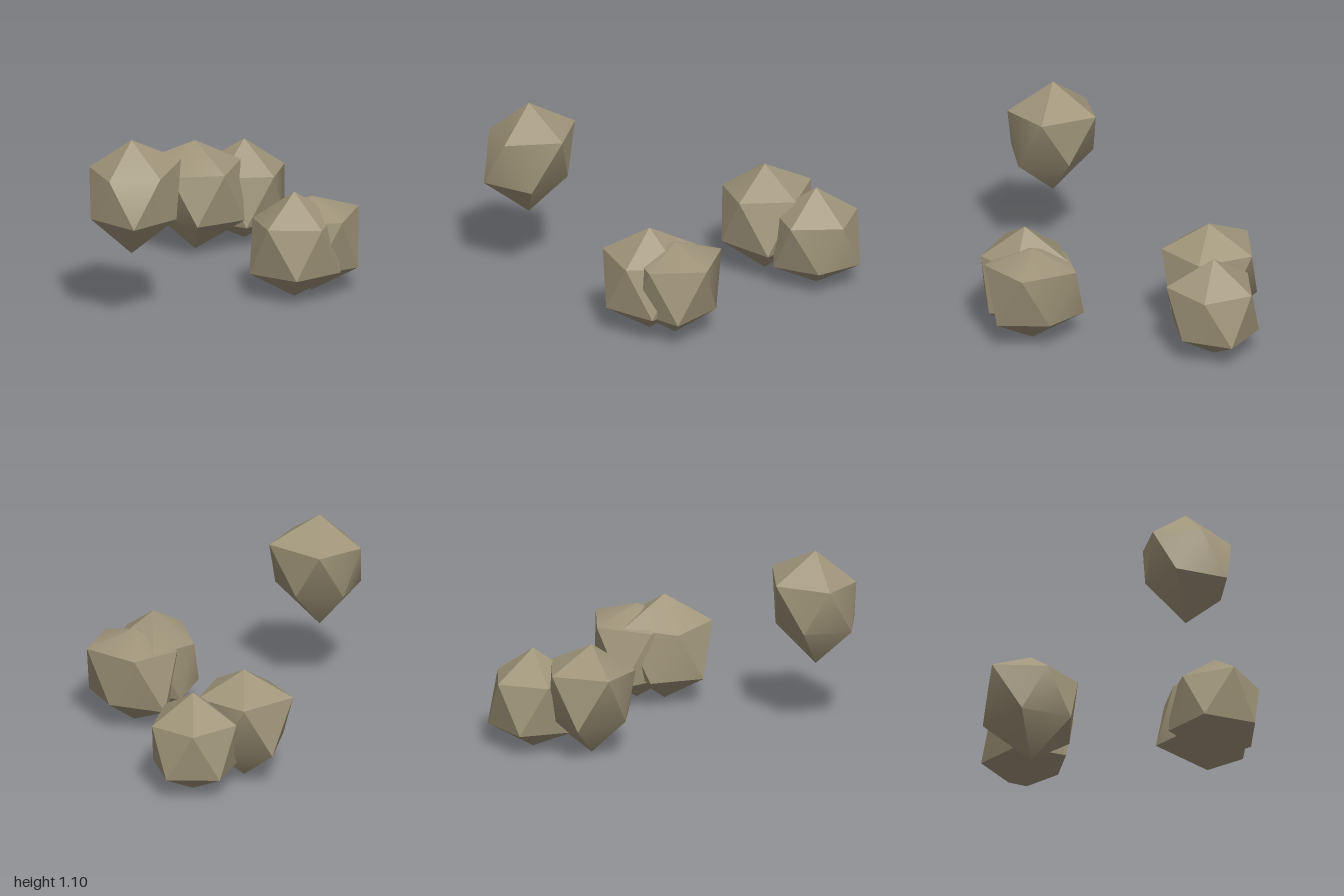
import * as THREE from 'three';
import { toCreasedNormals } from 'three/addons/utils/BufferGeometryUtils.js';

// Each rock is a bumpy icosahedron: an upright axis at (x, z) and two staggered
// rings of five corners, given as distances from the axis, running from the
// front right round by -x to the back. A corner's height grows with its distance.
const ROCKS = [
  {
    name: 'frontRock', x: 0.28, z: 0.755, base: 0.4, middle: 0.757, top: 1.1,
    lowerSlope: 0.45, lower: [0.285, 0.258, 0.24, 0.237, 0.275],
    upperSlope: 0.61, upper: [0.24, 0.258, 0.293, 0.312, 0.27],
  },
  {
    name: 'leftFrontRock', x: -0.53, z: -0.38, base: 0, middle: 0.366, top: 0.67,
    lowerSlope: 0.55, lower: [0.275, 0.243, 0.285, 0.27, 0.303],
    upperSlope: 0.54, upper: [0.258, 0.304, 0.294, 0.287, 0.28],
  },
  {
    name: 'leftBackRock', x: -0.52, z: -0.745, base: 0, middle: 0.3, top: 0.61,
    lowerSlope: 0.6, lower: [0.27, 0.278, 0.27, 0.268, 0.247],
    upperSlope: 0.5, upper: [0.258, 0.27, 0.26, 0.254, 0.28],
  },
  {
    name: 'rightFrontRock', x: 0.55, z: -0.26, base: 0, middle: 0.325, top: 0.645,
    lowerSlope: 0.56, lower: [0.275, 0.282, 0.275, 0.26, 0.283],
    upperSlope: 0.54, upper: [0.285, 0.254, 0.3, 0.265, 0.26],
  },
  {
    name: 'rightBackRock', x: 0.52, z: -0.42, base: 0, middle: 0.31, top: 0.58,
    lowerSlope: 0.54, lower: [0.26, 0.26, 0.305, 0.25, 0.28],
    upperSlope: 0.6, upper: [0.26, 0.265, 0.295, 0.294, 0.285],
  },
];

// Five corners around the axis, starting at the given angle
function ring(radii, slope, startDegrees) {
  return radii.flatMap((r, i) => {
    const angle = THREE.MathUtils.degToRad(startDegrees + 72 * i);
    return [r * Math.cos(angle), r * slope, r * Math.sin(angle)];
  });
}

function rockGeometry(rock) {
  const points = [
    0, rock.base - rock.middle, 0,
    ...ring(rock.lower, -rock.lowerSlope, 36),
    ...ring(rock.upper, rock.upperSlope, 72),
    0, rock.top - rock.middle, 0,
  ];
  const faces = [];
  for (let i = 0; i < 5; i++) {
    const n = (i + 1) % 5;
    const l = 1 + i, ln = 1 + n, u = 6 + i, un = 6 + n;
    faces.push(0, l, ln, l, u, ln, u, un, ln, 11, un, u);
  }
  const geometry = new THREE.BufferGeometry();
  geometry.setAttribute('position', new THREE.Float32BufferAttribute(points, 3));
  geometry.setIndex(faces);
  // gentle edges blend, stronger ones stay sharp
  return toCreasedNormals(geometry, 0.6);
}

export function createModel() {
  const group = new THREE.Group();
  group.name = 'rocks';
  const stone = new THREE.MeshStandardMaterial({ color: 0xa0957a });
  stone.name = 'stone';
  for (const rock of ROCKS) {
    const mesh = new THREE.Mesh(rockGeometry(rock), stone);
    mesh.name = rock.name;
    mesh.position.set(rock.x, rock.middle, rock.z);
    group.add(mesh);
  }
  return group;
}
